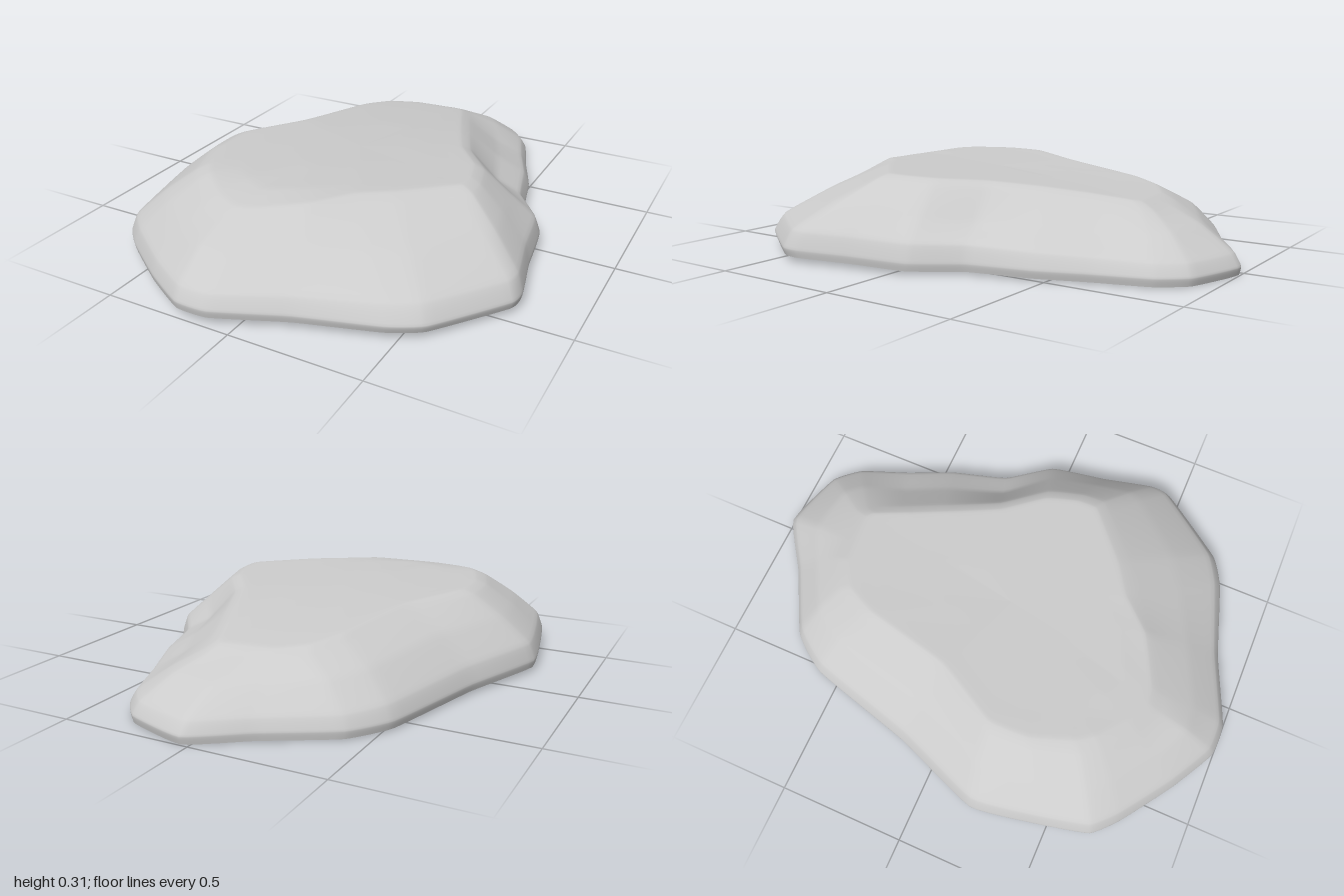
import * as THREE from 'three';

// Ribs, running from the back round the left side to the front:
// rim x, rim z, plateau edge x, plateau edge z, swell of the flank
const RIBS = [
  [0.03, -1.0, -0.02, -0.68, 0.005], [0.27, -0.93, 0.10, -0.69, 0.005],
  [0.36, -0.83, 0.13, -0.66, 0.0], [0.43, -0.64, 0.18, -0.53, -0.02],
  [0.51, -0.45, 0.25, -0.36, -0.02], [0.57, -0.23, 0.34, -0.16, -0.035],
  [0.69, -0.06, 0.46, 0.0, -0.01], [0.73, 0.17, 0.50, 0.13, 0.0],
  [0.78, 0.38, 0.50, 0.21, 0.0], [0.77, 0.46, 0.46, 0.25, 0.0],
  [0.58, 0.72, 0.30, 0.39, 0.0], [0.46, 0.79, 0.18, 0.47, 0.0],
  [0.17, 0.88, 0.06, 0.60, 0.0], [-0.09, 0.99, -0.13, 0.70, 0.0],
  [-0.22, 0.99, -0.20, 0.71, 0.01], [-0.40, 0.89, -0.30, 0.66, 0.0],
  [-0.60, 0.75, -0.41, 0.57, 0.0], [-0.69, 0.66, -0.46, 0.50, 0.0],
  [-0.74, 0.45, -0.52, 0.33, 0.0], [-0.78, 0.20, -0.52, 0.16, 0.0],
  [-0.65, -0.15, -0.38, -0.10, 0.01], [-0.53, -0.58, -0.29, -0.46, 0.01],
  [-0.42, -0.73, -0.22, -0.60, 0.01], [-0.17, -0.87, -0.11, -0.67, 0.005],
];
const CENTRE = [-0.03, 0.05];
const AROUND = 144, UP = 40;

const baseY = z => 0.014 * (z + 1);
// The plateau falls gently to the back and dips at the front tip
const topY = z => 0.31 - 0.075 * (z - 0.35) ** 2 - 0.15 * Math.max(0, z - 0.52);

// Section of one rib: underside lip, rim, flank, shoulder, plateau, centre
function section([ox, oz, tx, tz, swell]) {
  const b = baseY(oz), t = topY(tz) - 0.006;
  const at = (k, y) => new THREE.Vector3(ox + (tx - ox) * k, y, oz + (tz - oz) * k);
  const inner = k => {
    const x = tx + (CENTRE[0] - tx) * k, z = tz + (CENTRE[1] - tz) * k;
    return new THREE.Vector3(x, topY(z) - 0.008 * k, z);
  };
  const rise = t - b;
  return [
    at(0.02, b), at(0, b + 0.03), at(0.1, b + rise * 0.34),
    at(0.5, b + rise * 0.67 + swell), at(0.93, t - 0.014),
    inner(0.06), inner(0.25), inner(0.6), inner(1),
  ];
}

// Slack spline: nearly flat facets with softened corners
const facetCurve = (points, closed) =>
  new THREE.CatmullRomCurve3(points, closed, 'catmullrom', 0.2);

function shellGeometry() {
  // Join each ring round the stone, then each rib up to the centre
  const ribs = RIBS.map(section);
  const rings = ribs[0].map((_, j) => facetCurve(ribs.map(r => r[j]), true));
  const position = [], index = [];
  for (let i = 0; i < AROUND; i++) {
    const rib = facetCurve(rings.map(c => c.getPoint(i / AROUND)), false);
    for (let j = 0; j <= UP; j++) position.push(...rib.getPoint(j / UP).toArray());
  }
  for (let i = 0; i < AROUND; i++) {
    for (let j = 0; j < UP; j++) {
      const a = i * (UP + 1) + j, b = ((i + 1) % AROUND) * (UP + 1) + j;
      index.push(a, a + 1, b);
      if (j < UP - 1) index.push(b, a + 1, b + 1);
    }
  }
  const geometry = new THREE.BufferGeometry();
  geometry.setAttribute('position', new THREE.Float32BufferAttribute(position, 3));
  geometry.setIndex(index);
  geometry.computeVertexNormals();
  return geometry;
}

export function createModel() {
  const group = new THREE.Group();
  group.name = 'flatRock';
  // Open underneath, so the inside of the shell shows
  const stone = new THREE.MeshStandardMaterial({ color: 0xcccccc, side: THREE.DoubleSide });
  const shell = new THREE.Mesh(shellGeometry(), stone);
  shell.name = 'rockShell';
  group.add(shell);
  return group;
}
